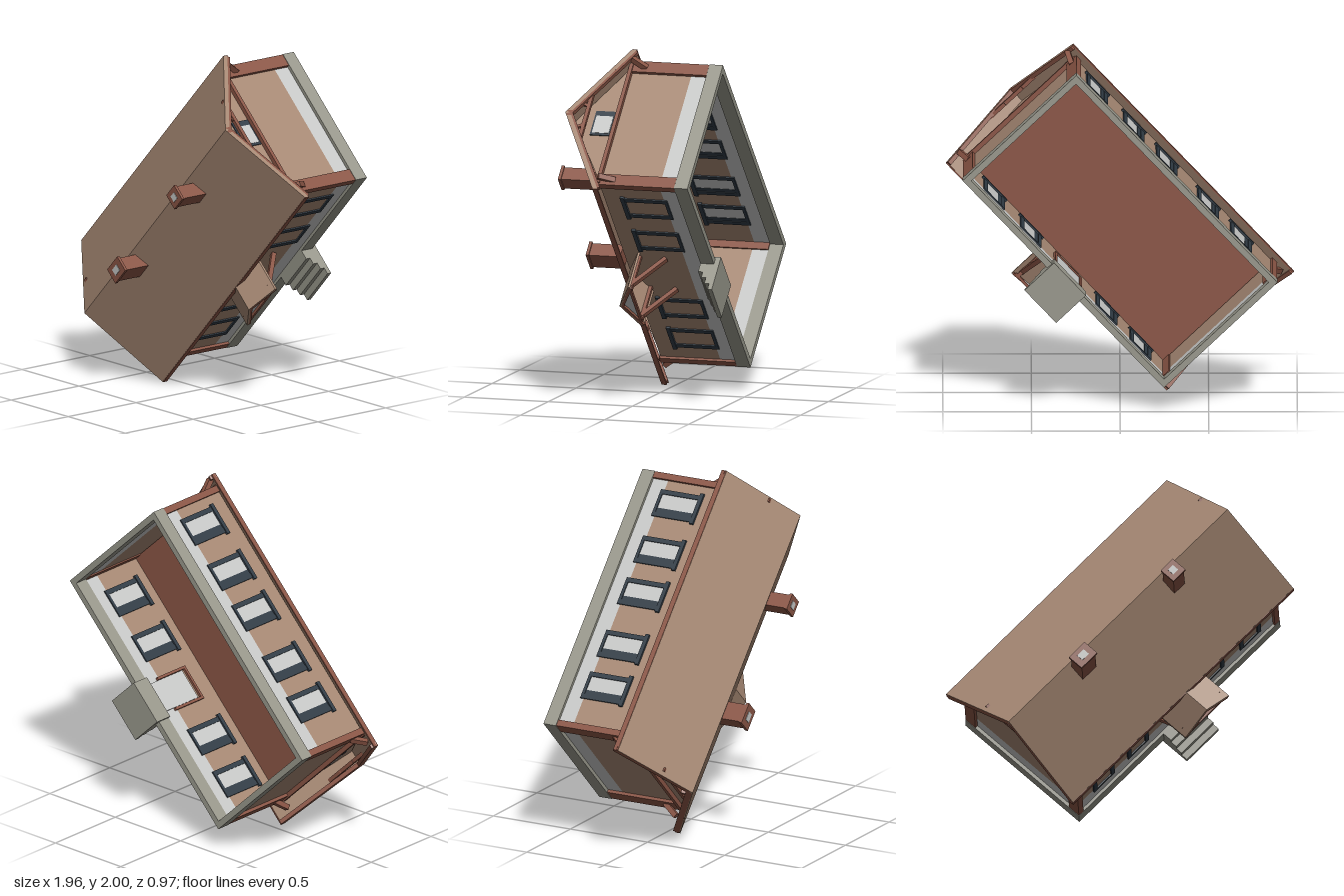
import * as THREE from 'three';

const mat = (name, color, side = THREE.FrontSide) =>
  Object.assign(new THREE.MeshStandardMaterial({ color, side }), { name });

export function createModel() {
  const tan = mat('tan siding', 0xa68873, THREE.DoubleSide);
  const trim = mat('red brown trim', 0x8a5545, THREE.DoubleSide);
  const pale = mat('pale grey', 0xc6c7c6, THREE.DoubleSide);
  const stone = mat('grey stone', 0x98978b);
  const slate = mat('dark slate', 0x303b45);

  // House frame: x along the ridge, y up to the roof, z towards the door side
  const house = new THREE.Group();
  house.name = 'house';
  const V = (x, y, z) => new THREE.Vector3(x, y, z);

  const add = (name, geometry, material, parent = house) => {
    const mesh = new THREE.Mesh(geometry, material);
    mesh.name = name;
    parent.add(mesh);
    return mesh;
  };
  // Box given by its low and high limits on each axis
  const box = (name, m, x0, x1, y0, y1, z0, z1) => {
    const b = add(name, new THREE.BoxGeometry(x1 - x0, y1 - y0, z1 - z0), m);
    b.position.set((x0 + x1) / 2, (y0 + y1) / 2, (z0 + z1) / 2);
    return b;
  };
  // Square timber between two points
  const beam = (name, p, q, w, h = w, m = trim) => {
    const b = add(name, new THREE.BoxGeometry(w, h, p.distanceTo(q)), m);
    b.position.copy(p).add(q).multiplyScalar(0.5);
    b.lookAt(q);
    return b;
  };
  // Slab with four top corners, counter-clockwise from above, and a vertical thickness
  const slab = (name, corners, t, m) => {
    const low = corners.map((c) => c.clone().setY(c.y - t));
    const quads = [corners, [...low].reverse()];
    corners.forEach((c, i) => {
      const j = (i + 1) % 4;
      quads.push([corners[j], c, low[i], low[j]]);
    });
    const pts = quads.flatMap(([a, b, c, d]) => [a, b, c, a, c, d]);
    const g = new THREE.BufferGeometry().setFromPoints(pts);
    g.computeVertexNormals();
    return add(name, g, m);
  };

  // Walls, pale skirting band and stone footing: four sides, open underneath
  const ring = (name, m, a, b, t, y0, y1) => {
    for (const s of [-1, 1]) {
      const [z0, z1] = s > 0 ? [b - t, b] : [-b, t - b];
      box(name + 'Side', m, -a, a, y0, y1, z0, z1);
      const [x0, x1] = s > 0 ? [a - t, a] : [-a, t - a];
      box(name + 'End', m, x0, x1, y0, y1, t - b, b - t);
    }
  };
  ring('wall', tan, 0.805, 0.425, 0.012, -0.28, 0.075);
  ring('skirting', pale, 0.805, 0.425, 0.012, -0.38, -0.28);
  ring('footing', stone, 0.825, 0.442, 0.035, -0.455, -0.375);
  box('ceiling', trim, -0.79, 0.79, 0.045, 0.055, -0.412, 0.412);

  // Roof slopes
  const ridge = [V(-0.899, 0.36, 0), V(0.897, 0.36, 0)];
  const back = [V(-0.925, 0.08, -0.472), V(0.885, 0.08, -0.472)];
  const front = [V(-0.93, 0.08, 0.515), V(0.88, 0.08, 0.515)];
  slab('roofFront', [ridge[0], front[0], front[1], ridge[1]], 0.03, tan);
  slab('roofBack', [ridge[1], back[1], back[0], ridge[0]], 0.03, tan);
  for (const eave of [front, back]) {
    const off = V(0, -0.016, eave === front ? -0.001 : 0.001);
    beam('fascia', eave[0].clone().add(off), eave[1].clone().add(off), 0.008, 0.03);
  }

  // Gable ends with rakes, chord, collar, struts and a small window
  const gable = new THREE.Shape([
    new THREE.Vector2(-0.425, 0.07), new THREE.Vector2(0.425, 0.07), new THREE.Vector2(0, 0.325)]);
  [-1, 1].forEach((s, i) => {
    const g = add('gableWall', new THREE.ShapeGeometry(gable), tan);
    g.rotation.y = s * Math.PI / 2;
    g.position.x = s * 0.804;
    const x = s * 0.872;
    for (const eave of [front[i], back[i]]) {
      const k = Math.sign(eave.z);
      beam('rakeBoard', V(ridge[i].x - s * 0.012, 0.335, 0), V(eave.x - s * 0.012, 0.055, eave.z * 0.99), 0.024, 0.036);
      beam('collarStrut', V(x, 0.23, k * 0.06), V(x, 0.29, k * 0.09), 0.016);
      beam('eaveBracket', V(s * 0.815, -0.01, k * 0.4), V(x, 0.07, k * 0.42), 0.03);
      const [z0, z1] = k > 0 ? [0.365, 0.441] : [-0.441, -0.365];
      const [x0, x1] = s > 0 ? [0.785, 0.823] : [-0.823, -0.785];
      box('cornerPost', trim, x0, x1, -0.374, 0.08, z0, z1);
    }
    beam('collarBeam', V(x, 0.24, -0.2), V(x, 0.24, 0.2), 0.022);
    beam('tieBeam', V(s * 0.818, 0.08, -0.43), V(s * 0.818, 0.08, 0.43), 0.026, 0.022);
    const w = s * 0.806;
    box('gableWindowFrame', slate, w - 0.004, w + 0.004, 0.095, 0.215, -0.085, 0.085);
    box('gableWindowPane', pale, w - 0.006, w + 0.006, 0.105, 0.205, -0.05, 0.07);
  });

  // Windows: slate frame with pale panes, set through the wall
  const sashWindow = (x, s, z, pane) => {
    const w = 0.085, lo = -0.295, hi = -0.035;
    const bar = (name, m, x0, x1, y0, y1, d) => box(name, m, x + x0, x + x1, y0, y1, z - d, z + d);
    for (const k of [-1, 1]) {
      const c = k * (w - 0.014);
      bar('windowJamb', slate, c - 0.014, c + 0.014, lo, hi, 0.014);
    }
    bar('windowHeader', slate, -w - 0.012, w + 0.012, hi - 0.012, hi + 0.012, 0.02);
    bar('windowSill', slate, -w, w, lo - 0.004, lo + 0.014, 0.014);
    if (pane) bar('windowPane', pale, -w + 0.02, w - 0.02, lo + 0.01, hi - 0.01, 0.008);
    else box('windowInnerPane', pale, x - w + 0.02, x + w - 0.02, lo + 0.01, hi - 0.01, z - 0.009, z - 0.007);
    box('windowShade', slate, x - w + 0.02, x - w + 0.055, lo + 0.01, hi - 0.01, z - 0.0105, z + (pane ? 0.0105 : 0));
  };
  for (const x of [-0.54, -0.27, 0.07, 0.34, 0.64]) sashWindow(x, -1, -0.419, true);
  for (const x of [-0.6, -0.32, 0.3, 0.6]) sashWindow(x, 1, 0.419, false);

  // Door on the inner face, with its casing
  box('door', pale, -0.09, 0.09, -0.38, -0.1, 0.404, 0.412);
  for (const k of [-1, 1]) beam('doorCasing', V(k * 0.1, -0.3, 0.406), V(k * 0.1, -0.07, 0.406), 0.016);
  beam('doorHeader', V(-0.108, -0.075, 0.406), V(0.108, -0.075, 0.406), 0.016);

  // Gabled door canopy on diagonal brackets
  const top = [V(0, 0.08, 0.425), V(0, 0.08, 0.675)];
  for (const k of [-1, 1]) {
    const low = [V(k * 0.178, -0.01, 0.425), V(k * 0.178, -0.01, 0.675)];
    const c = [top[0], top[1], low[1], low[0]];
    slab('canopySlope', k > 0 ? c : c.reverse(), 0.014, tan);
    beam('canopyRake', V(0, 0.064, 0.668), V(k * 0.17, -0.022, 0.668), 0.014, 0.02);
    beam('canopyBracket', V(k * 0.14, -0.17, 0.43), V(k * 0.14, -0.005, 0.635), 0.026);
    beam('canopyArm', V(k * 0.14, -0.015, 0.425), V(k * 0.14, -0.015, 0.66), 0.02);
  }
  const pediment = new THREE.Shape([
    new THREE.Vector2(-0.15, -0.015), new THREE.Vector2(0.15, -0.015), new THREE.Vector2(0, 0.062)]);
  add('canopyPediment', new THREE.ShapeGeometry(pediment), pale).position.z = 0.655;
  beam('canopyTie', V(-0.16, -0.015, 0.662), V(0.16, -0.015, 0.662), 0.016);

  // Entrance steps
  [0.5, 0.54, 0.58, 0.62].forEach((z, i) =>
    box('step', stone, -0.13, 0.13, -0.485, -0.375 - i * 0.028, i ? z - 0.04 : 0.39, z));

  // Chimneys with a wider cap and pale flue
  for (const [x, z, w, d] of [[-0.352, 0.065, 0.11, 0.085], [0.376, 0.075, 0.085, 0.085]]) {
    const block = (name, m, k, y0, y1) =>
      box(name, m, x - w * k, x + w * k, y0, y1, z - d * k, z + d * k);
    block('chimney', trim, 0.5, 0.28, 0.475);
    block('chimneyCap', trim, 0.58, 0.465, 0.482);
    block('chimneyFlue', pale, 0.24, 0.48, 0.485);
  }

  // Lay the house over: roof to the front, ridge on the diagonal
  const a = 0.8118, c = Math.cos(a), s = Math.sin(a);
  house.quaternion.setFromRotationMatrix(
    new THREE.Matrix4().makeBasis(V(c, s, 0), V(0, 0, 1), V(s, -c, 0)));
  house.position.y = 1.03;

  const model = new THREE.Group();
  model.name = 'tiltedHouse';
  model.add(house);
  return model;
}
